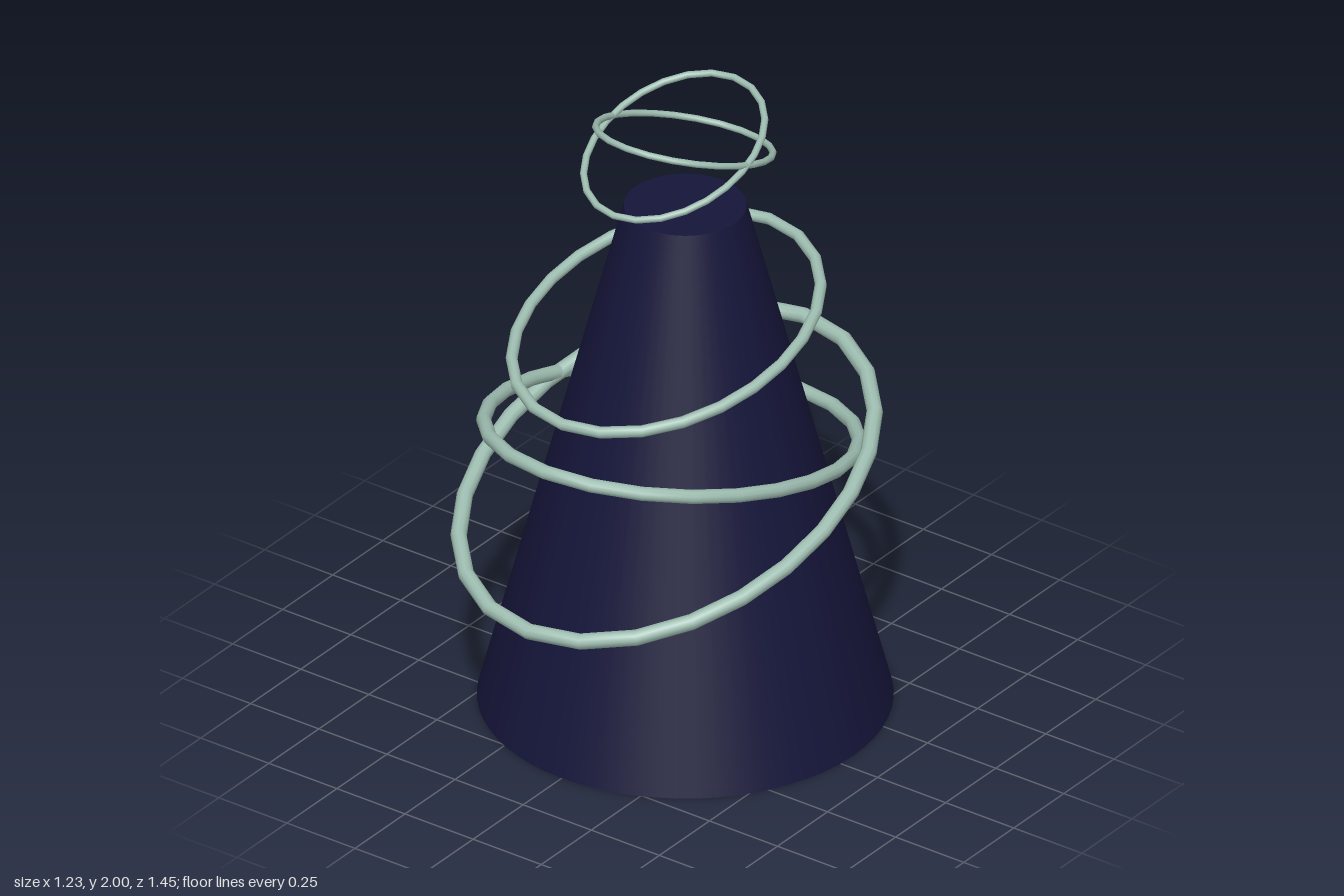
import * as THREE from 'three';

// Closed ellipse in the x/y plane with half-axes a and b
class Ellipse extends THREE.Curve {
  constructor(a, b) {
    super();
    this.a = a;
    this.b = b;
  }
  getPoint(t, target = new THREE.Vector3()) {
    const angle = t * Math.PI * 2;
    return target.set(this.a * Math.sin(angle), this.b * Math.cos(angle), 0);
  }
}

export function createModel() {
  const model = new THREE.Group();
  const coneMaterial = new THREE.MeshStandardMaterial({ color: 0x15153a });
  const ringMaterial = new THREE.MeshStandardMaterial({ color: 0x9dbcb0 });

  // Truncated cone body
  const height = 1.675;
  const cone = new THREE.Mesh(new THREE.CylinderGeometry(0.182, 0.617, height, 64), coneMaterial);
  cone.name = 'coneBody';
  cone.position.set(0, height / 2, -0.06);
  model.add(cone);

  // Tilted oval ring, given by its front and back ends on the centre line
  function addRing(name, x, halfWidth, front, back) {
    const dz = front[0] - back[0];
    const dy = front[1] - back[1];
    const halfLength = Math.hypot(dz, dy) / 2;
    const curve = new Ellipse(halfWidth, halfLength);
    const ring = new THREE.Mesh(
      new THREE.TubeGeometry(curve, 24, halfLength * 0.034, 10, true), ringMaterial);
    ring.name = name;
    ring.position.set(x, (front[1] + back[1]) / 2, (front[0] + back[0]) / 2);
    ring.rotation.x = Math.atan2(dz, dy);
    model.add(ring);
  }

  // Ends are [z, y]
  addRing('largeLowerRing', -0.015, 0.573, [0.70, 0.565], [-0.675, 1.0]);
  addRing('crossingLowerRing', -0.058, 0.512, [0.56, 1.03], [-0.70, 0.725]);
  addRing('middleRing', -0.016, 0.422, [0.53, 1.194], [-0.503, 1.412]);
  addRing('topRingRisingBack', -0.016, 0.249, [0.274, 1.789], [-0.327, 1.98]);
  addRing('topRingRisingFront', -0.016, 0.249, [0.21, 1.989], [-0.364, 1.78]);

  return model;
}
